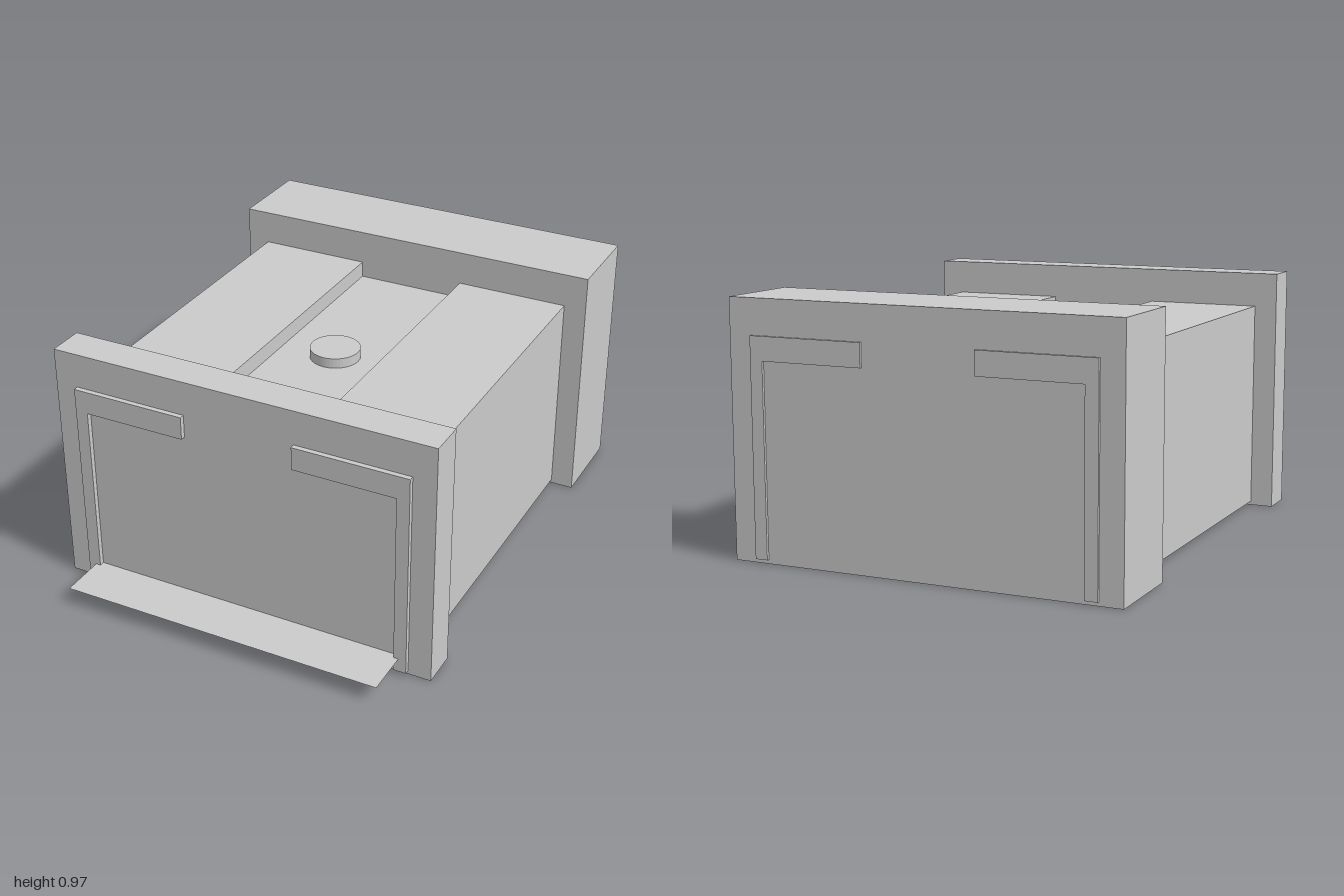
import * as THREE from 'three';

export function createModel() {
  const model = new THREE.Group();
  const grey = new THREE.MeshStandardMaterial({ color: 0xcccccc, flatShading: true });
  const thin = new THREE.MeshStandardMaterial({ color: 0xcccccc, side: THREE.DoubleSide });

  const add = (name, geometry, material = grey, parent = model) => {
    const mesh = new THREE.Mesh(geometry, material);
    mesh.name = name;
    parent.add(mesh);
    return mesh;
  };
  // Box given by its lower and upper limits on each axis
  const box = (name, x0, x1, y0, y1, z0, z1, parent) =>
    add(name, new THREE.BoxGeometry(x1 - x0, y1 - y0, z1 - z0), grey, parent)
      .position.set((x0 + x1) / 2, (y0 + y1) / 2, (z0 + z1) / 2);

  const floorY = 0.07;

  // End block: full above the floor, with a shallow notch under its inner edge
  function endBlock(name, zInner, zOuter) {
    const group = new THREE.Group();
    group.name = name;
    const [z0, z1] = [Math.min(zInner, zOuter), Math.max(zInner, zOuter)];
    box(name + 'Wall', -0.765, 0.765, floorY, 0.97, z0, z1, group);
    const zNotch = zInner + Math.sign(zOuter - zInner) * 0.06;
    const foot = new THREE.Shape([
      [-0.765, zOuter], [0.765, zOuter], [0.765, zInner], [0.22, zInner],
      [0.22, zNotch], [-0.22, zNotch], [-0.22, zInner], [-0.765, zInner],
    ].map(([x, z]) => new THREE.Vector2(x, -z)));
    const geometry = new THREE.ExtrudeGeometry(foot, { depth: floorY, bevelEnabled: false });
    geometry.rotateX(-Math.PI / 2);
    add(name + 'Foot', geometry, grey, group);
    model.add(group);
  }
  endBlock('frontBlock', 0.655, 0.8);
  endBlock('backBlock', -0.63, -0.99);

  // Core between the side panels, its top forming the lowered channel
  box('core', -0.63, 0.63, floorY + 0.002, 0.77, -0.9, 0.75);

  // Thin floor sheet reaching out in front
  const sheet = new THREE.PlaneGeometry(1.29, 1.9);
  sheet.rotateX(-Math.PI / 2);
  add('floorSheet', sheet, thin).position.set(0, floorY, 0.05);

  // Angled side panels passing through both end blocks
  for (const side of [1, -1]) {
    const profile = new THREE.Shape([
      [0.675, 0.015], [0.675, 0.835], [0.222, 0.835],
      [0.222, 0.745], [0.625, 0.745], [0.625, 0.015],
    ].map(([x, y]) => new THREE.Vector2(side * x, y)));
    add(side > 0 ? 'leftPanel' : 'rightPanel',
      new THREE.ExtrudeGeometry(profile, { depth: 1.82, bevelEnabled: false })).position.z = -1;
  }

  // Round knob in the channel
  add('knob', new THREE.CylinderGeometry(0.098, 0.098, 0.06, 48)).position.set(0, 0.78, 0.053);

  // Rows of small studs under the floor
  const studs = new THREE.Group();
  studs.name = 'studs';
  model.add(studs);
  for (const x of [-0.57, -0.33, 0.33, 0.57]) {
    for (let i = 0; i < 7; i++) {
      const z = -0.49 + i * 0.178;
      box('stud', x - 0.035, x + 0.035, 0.03, floorY, z - 0.035, z + 0.035, studs);
    }
  }
  return model;
}
